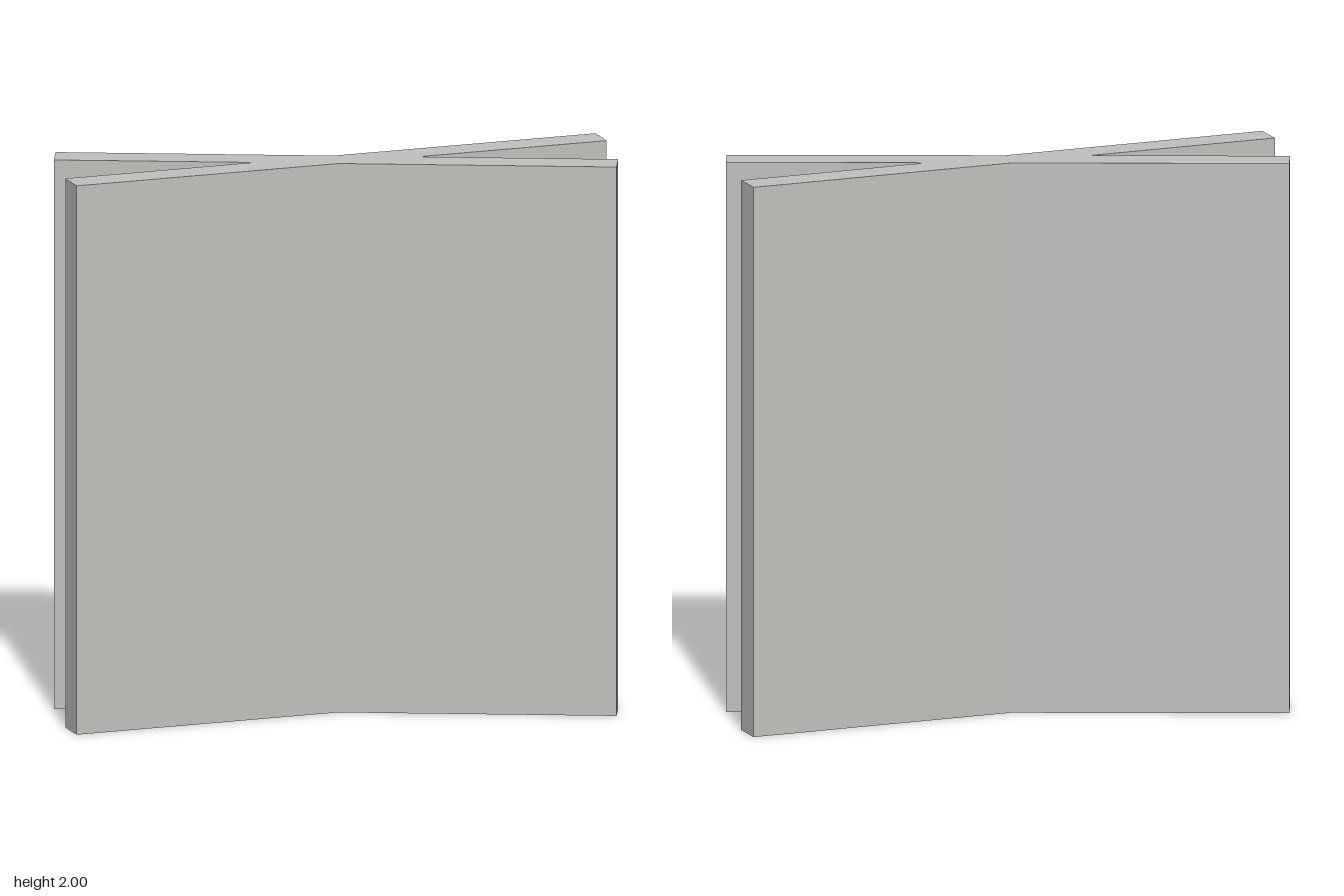
import * as THREE from 'three';

export function createModel() {
  const model = new THREE.Group();
  model.name = 'crossedPanels';

  const grey = new THREE.MeshStandardMaterial({ color: 0xc0c0bd });
  grey.name = 'light grey';

  // Plan of two slabs crossing at a shallow angle
  const angle = Math.atan(0.2022);
  const halfThick = 0.0585;
  const halfLength = 0.9975;
  const c = Math.cos(angle);
  const s = Math.sin(angle);
  const quarter = [
    [halfThick / s, 0], // inner corner of the side notch
    [halfLength * c + halfThick * s, halfLength * s - halfThick * c], // inner end corner
    [halfLength * c - halfThick * s, halfLength * s + halfThick * c], // outer end corner
    [0, halfThick / c], // shallow valley on the broad face
  ];

  // Mirror the quarter around the centre, dropping shared end points
  const outline = [];
  [[1, 1], [-1, 1], [-1, -1], [1, -1]].forEach(([sx, sy], i) => {
    const points = i % 2 ? [...quarter].reverse() : quarter;
    points.slice(0, -1).forEach(([x, y]) => outline.push(new THREE.Vector2(x * sx, y * sy)));
  });

  // Raise the plan to full height
  const geometry = new THREE.ExtrudeGeometry(new THREE.Shape(outline), { depth: 2, bevelEnabled: false });
  geometry.rotateX(-Math.PI / 2);

  const panels = new THREE.Mesh(geometry, grey);
  panels.name = 'crossedSlabs';
  model.add(panels);
  return model;
}
